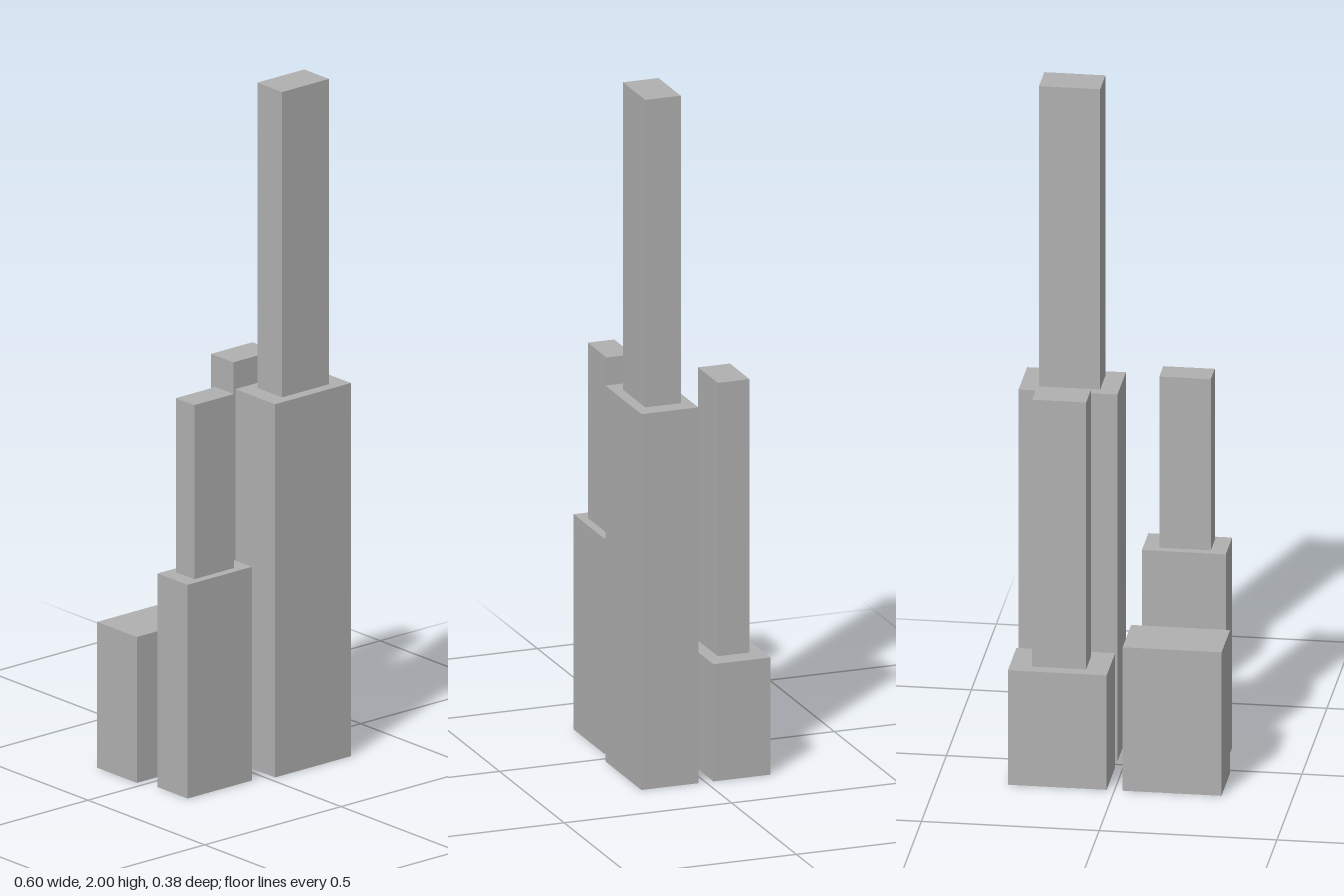
import * as THREE from 'three';

export function createModel() {
  const model = new THREE.Group();
  model.name = 'skyscraperCluster';
  const concrete = new THREE.MeshStandardMaterial({ color: 0xb0b0b0 });
  concrete.name = 'concrete grey';

  // Box block given by its centre on the ground plan, footprint and vertical span
  function block(name, x, z, width, depth, bottom, top) {
    const mesh = new THREE.Mesh(new THREE.BoxGeometry(width, top - bottom, depth), concrete);
    mesh.name = name;
    mesh.position.set(x, (bottom + top) / 2, z);
    return mesh;
  }

  // Each building: a base block, and optionally a slimmer tower on its roof
  const buildings = [
    { name: 'tallBuilding', x: 0.161, z: 0.107, base: [0.278, 0.17, 1.1], tower: [0.172, 0.106, 2] },
    { name: 'mediumBuilding', x: -0.162, z: 0.106, base: [0.236, 0.128, 0.63], tower: [0.145, 0.079, 1.143] },
    { name: 'lowBaseBuilding', x: 0.161, z: -0.108, base: [0.278, 0.17, 0.343], tower: [0.152, 0.095, 1.143] },
    { name: 'plainBuilding', x: -0.162, z: -0.108, base: [0.278, 0.17, 0.43] },
  ];

  for (const { name, x, z, base, tower } of buildings) {
    const building = new THREE.Group();
    building.name = name;
    building.add(block('base', x, z, base[0], base[1], 0, base[2]));
    if (tower) building.add(block('tower', x, z, tower[0], tower[1], base[2], tower[2]));
    model.add(building);
  }
  return model;
}
